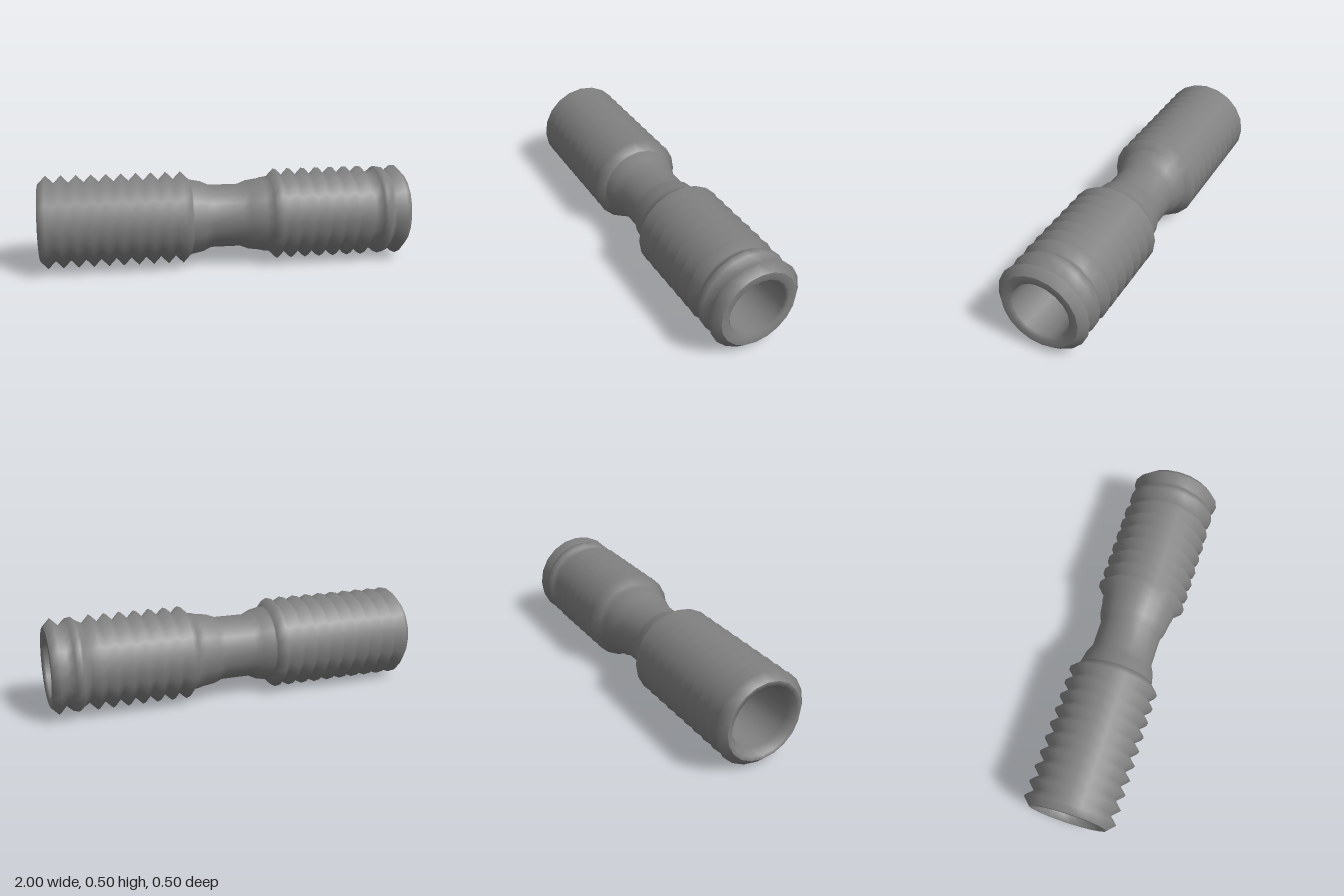
import * as THREE from 'three';

const SIDES = 20;
const PEAK = 0.249;    // thread crest radius
const VALLEY = 0.208;  // thread root radius
const PITCH = 0.08;

// Revolve an [x, radius] profile about the x axis
function revolve(name, profile, material) {
  const points = profile.map(([x, r]) => new THREE.Vector2(r, x));
  const geometry = new THREE.LatheGeometry(points, SIDES);
  geometry.rotateZ(-Math.PI / 2);
  const mesh = new THREE.Mesh(geometry, material);
  mesh.name = name;
  mesh.position.y = PEAK;
  return mesh;
}

// Ring ridges starting and ending in a root
function ridges(start, count) {
  const profile = [[start, VALLEY]];
  for (let i = 0; i < count; i++) {
    const x = start + i * PITCH;
    profile.push([x + PITCH / 2, PEAK], [x + PITCH, VALLEY]);
  }
  return profile;
}

export function createModel() {
  const group = new THREE.Group();
  group.name = 'threadedStud';
  const material = new THREE.MeshStandardMaterial({ color: 0x808080 });

  // Outer skin: long thread, narrow waist, short thread, broad collar, end ridge
  group.add(revolve('threadedBody', [
    ...ridges(-1, 10),
    [-0.19, 0.204], [-0.13, 0.192], [-0.085, 0.171],
    [0.075, 0.171], [0.12, 0.189], [0.185, 0.198], [0.2, 0.203],
    ...ridges(0.24, 7),
    [0.84, 0.232], [0.855, 0.246], [0.885, 0.24], [0.92, VALLEY],
    [0.96, PEAK], [1, VALLEY],
  ], material));

  // Rims and tapered blind sockets, each with a drill dimple in a flat floor
  const floor = [[0.265, 0], [0.27, 0.02], [0.3, 0.035], [0.3, 0.085], [0.31, 0.095], [0.36, 0.13]];
  group.add(revolve('rightSocket', [
    ...floor.map(([x, r]) => [-x, r]),
    [-0.96, 0.16], [-1, 0.185], [-1, VALLEY],
  ], material));
  group.add(revolve('leftSocket', [
    [1, VALLEY], [1, 0.17], [0.985, 0.155],
    ...floor.reverse(),
  ], material));

  return group;
}
